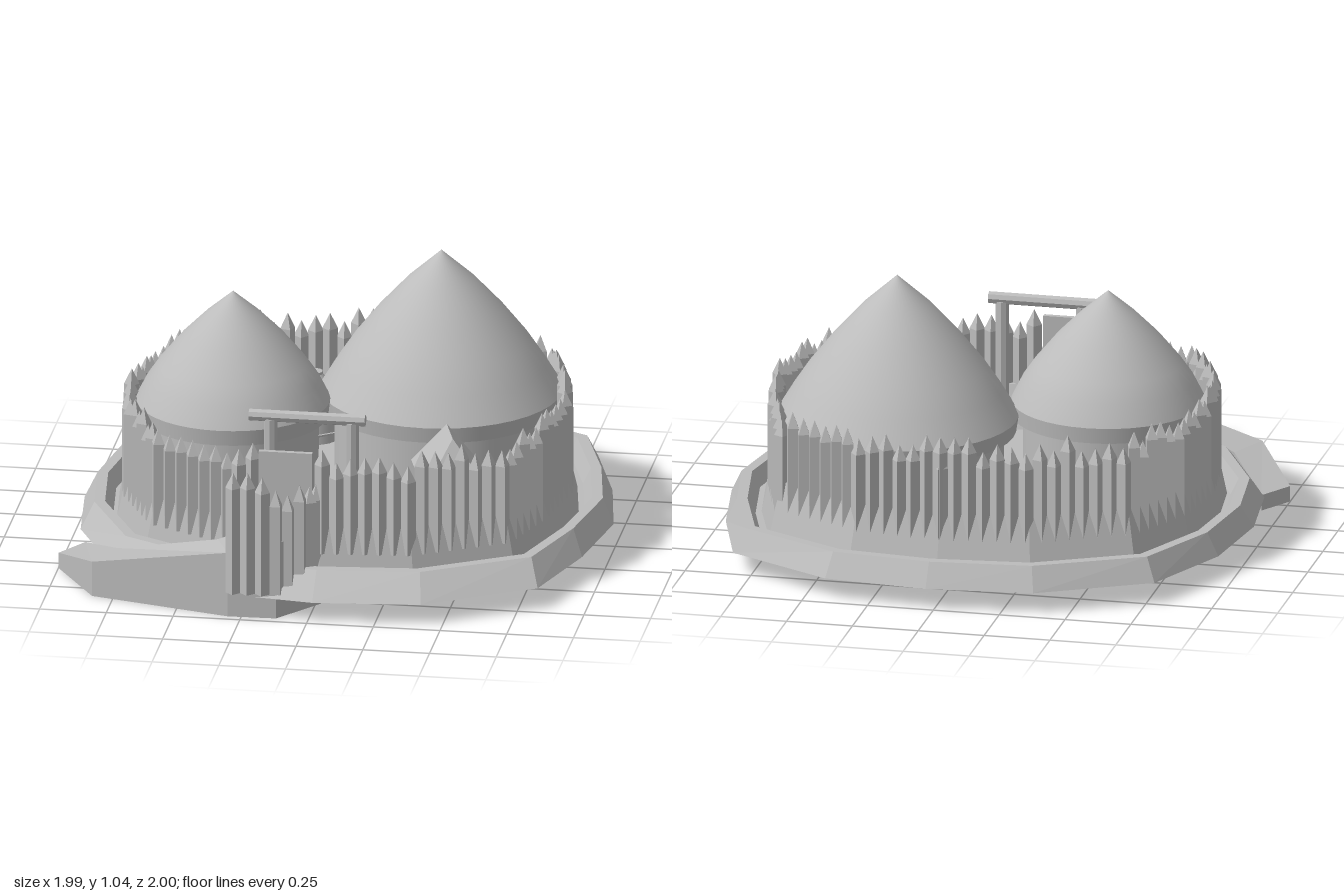
import * as THREE from 'three';

const clay = new THREE.MeshStandardMaterial({ color: 0xbcbcbc });
clay.name = 'plain grey';
const V = (x, y, z) => new THREE.Vector3(x, y, z);

// Faceted surface through a list of equal-length closed loops.
function loft(loops) {
  const pos = [];
  const tri = (a, b, c) => {
    const area = b.clone().sub(a).cross(c.clone().sub(a)).length();
    if (area > 1e-8) pos.push(...a.toArray(), ...b.toArray(), ...c.toArray());
  };
  for (let k = 0; k < loops.length - 1; k++) {
    const lo = loops[k], hi = loops[k + 1], n = lo.length;
    for (let i = 0; i < n; i++) {
      const j = (i + 1) % n;
      tri(lo[j], lo[i], hi[i]);
      tri(lo[j], hi[i], hi[j]);
    }
  }
  const g = new THREE.BufferGeometry();
  g.setAttribute('position', new THREE.Float32BufferAttribute(pos, 3));
  g.computeVertexNormals();
  return g;
}

function flat(g) {
  const out = g.toNonIndexed();
  out.computeVertexNormals();
  return out;
}

function add(parent, name, geo, x = 0, y = 0, z = 0) {
  const m = new THREE.Mesh(geo, clay);
  m.name = name;
  m.position.set(x, y, z);
  parent.add(m);
  return m;
}

function addGroup(parent, name) {
  const g = new THREE.Group();
  g.name = name;
  parent.add(g);
  return g;
}

const lathe = (pts, n) => new THREE.LatheGeometry(pts.map(p => new THREE.Vector2(...p)), n);

// Round bar between two points.
function bar(parent, name, a, b, r, sides = 6) {
  const d = b.clone().sub(a);
  const m = add(parent, name, flat(new THREE.CylinderGeometry(r, r, d.length(), sides)));
  m.position.copy(a).add(b).multiplyScalar(0.5);
  m.quaternion.setFromUnitVectors(V(0, 1, 0), d.normalize());
}

let seed = 7;
const rand = () => (seed = (seed * 16807) % 2147483647) / 2147483647;

const FLOOR = 0.16;
const outline = [
  [0.03, -1], [0.42, -0.96], [0.82, -0.74], [0.93, -0.38], [0.99, -0.02], [0.93, 0.35],
  [0.82, 0.71], [0.42, 0.955], [0.02, 0.995], [-0.37, 0.945], [-0.77, 0.72], [-0.95, 0.34],
  [-0.99, -0.01], [-0.94, -0.38], [-0.78, -0.74], [-0.37, -0.96]];

// Square pointed stakes set edge-on and spaced evenly along a path.
function stakes(parent, name, path, step, base, low, high, skip = () => false) {
  const group = addGroup(parent, name);
  const curve = new THREE.CurvePath();
  for (let i = 0; i < path.length - 1; i++)
    curve.add(new THREE.LineCurve3(V(path[i][0], 0, path[i][1]), V(path[i + 1][0], 0, path[i + 1][1])));
  const n = Math.round(curve.getLength() / step);
  for (let i = 0; i <= n; i++) {
    const p = curve.getPointAt(i / n), t = curve.getTangentAt(Math.min(i / n, 0.999));
    const top = low + (high - low) * rand();
    if (skip(p)) continue;
    const g = flat(lathe([[0, base], [0.029, base], [0.029, top - 0.06], [0, top]], 4));
    add(group, 'stake', g, p.x, 0, p.z).rotation.y = Math.atan2(t.x, t.z);
  }
}

// Round hut with a bulging thatched cone; profile runs from eave to peak.
function roundHut(parent, name, x, z, profile, lip, sides) {
  const hut = addGroup(parent, name);
  hut.position.set(x, 0, z);
  const [r, y] = profile[0], wall = r * 0.88;
  add(hut, 'wall', new THREE.CylinderGeometry(wall, wall, y - FLOOR, sides), 0, (y + FLOOR) / 2, 0);
  add(hut, 'eaveUnderside', lathe([[wall * 0.98, y - lip], [r * 0.98, y - lip]], sides));
  add(hut, 'eaveEdge', lathe([[r * 0.98, y - lip], [r, y]], sides));
  add(hut, 'roof', lathe(profile, sides));
  return hut;
}

function fence(parent, pts) {
  const g = addGroup(parent, 'fence');
  pts.forEach(([x, z], i) => {
    add(g, 'fencePost', new THREE.BoxGeometry(0.02, 0.13, 0.02), x, FLOOR + 0.065, z);
    if (!i) return;
    const [px, pz] = pts[i - 1];
    for (const h of [0.05, 0.1]) bar(g, 'fenceRail', V(px, FLOOR + h, pz), V(x, FLOOR + h, z), 0.005, 4);
  });
}

export function createModel() {
  const root = new THREE.Group();
  root.name = 'hillfort';

  // Earthwork: outer bank, ditch, steep rampart and sunken yard (x scale, z scale, z shift, height)
  const section = [[0, 0, 0, 0.1], [0.88, 0.86, 0, 0.1], [0.91, 0.89, -0.02, 0.13], [0.95, 0.92, -0.02, 0.13],
    [1, 1, 0, 0.08], [0.955, 0.918, -0.03, 0.17], [0.915, 0.88, -0.03, 0.17], [0.885, 0.85, -0.03, 0.11],
    [0.868, 0.82, -0.01, 0.11], [0.822, 0.775, 0, 0.315], [0.79, 0.755, 0, 0.315],
    [0.715, 0.69, 0, FLOOR], [0, 0, 0, FLOOR]];
  add(root, 'earthwork', loft(section.map(([sx, sz, dz, y]) =>
    outline.map(([x, z]) => V(x * sx, y, z * sz + dz)))));

  // Entrance ramp climbing along the bank: outer x,z, inner x,z, height
  const ramp = [[-1, 0.55, -0.92, 0.42, 0.06], [-0.83, 0.83, -0.76, 0.67, 0.135],
    [-0.3, 0.97, -0.36, 0.83, 0.25], [-0.12, 0.965, -0.21, 0.76, 0.29], [0.02, 0.78, -0.2, 0.74, 0.317]]
    .map(([ox, oz, ix, iz, y]) => [V(ox, 0, oz), V(ox, y, oz), V(ix, y, iz), V(ix, 0, iz)]);
  const cap = loop => loop.map(() => loop[0].clone().add(loop[2]).multiplyScalar(0.5));
  add(root, 'ramp', loft([cap(ramp[0]), ...ramp, cap(ramp[4])]));

  // Palisades
  const ring = [...outline, outline[0]].map(([x, z]) => [x * 0.82, z * 0.775]);
  stakes(root, 'palisade', ring, 0.053, 0.2, 0.54, 0.61, p => p.z > 0.6 && p.x > -0.23 && p.x < -0.01);
  stakes(root, 'gateScreen', [[-0.28, 0.97], [-0.14, 0.97], [-0.06, 0.89], [-0.02, 0.85], [0, 0.78]],
    0.052, 0.095, 0.47, 0.58);

  // Gate frame, and a leaf in line with the palisade
  const gate = addGroup(root, 'gate');
  bar(gate, 'lintel', V(-0.27, 0.68, 0.645), V(0.165, 0.68, 0.645), 0.023, 8);
  for (const x of [-0.19, 0.115]) bar(gate, 'gatePost', V(x, FLOOR, 0.645), V(x, 0.67, 0.645), 0.025, 8);
  add(gate, 'gateLeaf', new THREE.BoxGeometry(0.2, 0.3, 0.02), -0.115, 0.435, 0.765);

  // Large round huts
  roundHut(root, 'largeHut', 0.31, -0.245, [[0.45, 0.5], [0.39, 0.6], [0.33, 0.69], [0.235, 0.81],
    [0.125, 0.93], [0, 1.042]], 0.06, 40);
  roundHut(root, 'mediumHut', -0.425, 0.045, [[0.36, 0.52], [0.32, 0.6], [0.275, 0.665], [0.19, 0.768],
    [0.1, 0.858], [0, 0.943]], 0.06, 40);

  // Small granaries with capped roofs
  for (const [x, z] of [[-0.4, -0.47], [-0.215, -0.565]]) {
    const hut = roundHut(root, 'granary', x, z, [[0.103, 0.3], [0.07, 0.36], [0.03, 0.41]], 0.02, 16);
    add(hut, 'roofCap', new THREE.CylinderGeometry(0.03, 0.03, 0.02, 12), 0, 0.41, 0);
  }

  // Rectangular house with hipped roof
  const house = addGroup(root, 'house');
  house.position.set(0.44, 0, 0.385);
  house.rotation.y = 0.29;
  add(house, 'houseWalls', new THREE.BoxGeometry(0.19, 0.24, 0.3), 0, FLOOR + 0.12, 0);
  const rect = (w, l, y) => [V(-w, y, -l), V(w, y, -l), V(w, y, l), V(-w, y, l)];
  add(house, 'houseRoof', loft([rect(0, 0, 0.39), rect(0.12, 0.18, 0.39), rect(0, 0.08, 0.56)]));

  // Garden bed with raised edging beside the house
  const bed = addGroup(root, 'gardenBed');
  bed.position.set(0.26, FLOOR, 0.455);
  bed.rotation.y = 0.29;
  for (const s of [-1, 1]) {
    add(bed, 'bedSide', new THREE.BoxGeometry(0.015, 0.03, 0.18), s * 0.06, 0.015, 0);
    add(bed, 'bedEnd', new THREE.BoxGeometry(0.105, 0.03, 0.015), 0, 0.015, s * 0.0825);
  }

  // Hearth slab and well ring in the yard
  add(root, 'hearth', flat(new THREE.CylinderGeometry(0.05, 0.05, 0.03, 8)), 0.083, FLOOR + 0.015, 0.3);
  add(root, 'well', flat(lathe([[0.05, 0], [0.05, 0.07], [0.04, 0.07], [0.04, 0]], 8)), -0.215, FLOOR, 0.47);

  // Yard fences
  fence(root, [[-0.71, -0.4], [-0.51, -0.34], [-0.32, -0.375], [-0.19, -0.43], [-0.03, -0.55], [0.05, -0.7]]);
  fence(root, [[-0.1, 0.38], [-0.2, 0.56], [-0.35, 0.66]]);
  fence(root, [[0.11, 0.35], [0.14, 0.555], [0.26, 0.69]]);

  return root;
}
